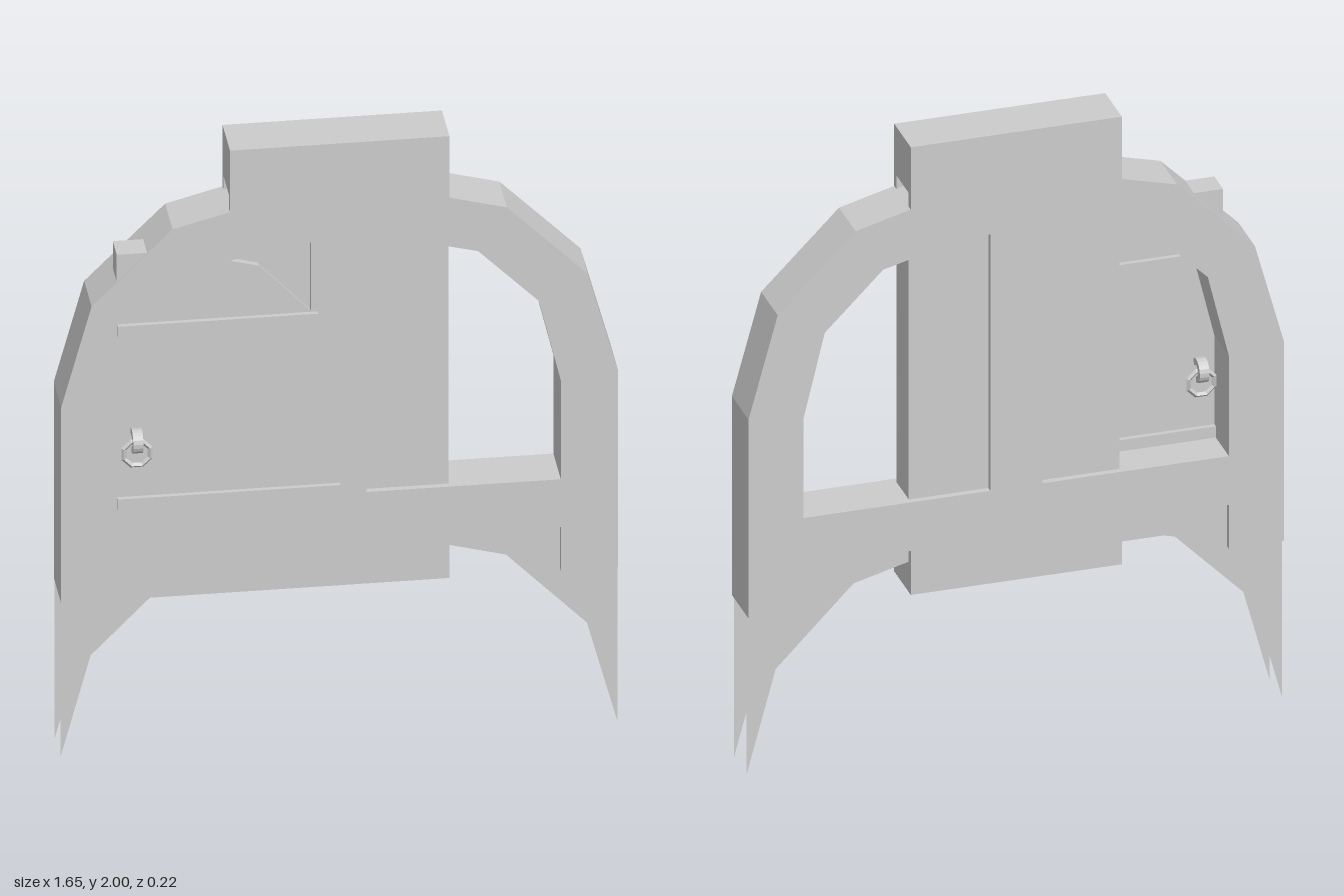
import * as THREE from 'three';

const FRONT = 0.05, BACK = -0.11, SKIN = 0.02;
const material = new THREE.MeshStandardMaterial({ color: 0xcccccc, flatShading: true, side: THREE.DoubleSide });

const mirror = (pts) => pts.map(([x, y]) => [-x, y]).reverse();
const toShape = (pts) => new THREE.Shape(pts.map(([x, y]) => new THREE.Vector2(x, y)));

// Right halves of the profiles, as [x, y]
const archOuter = [[0.825, 1.18], [0.735, 1.51], [0.495, 1.75]];
const archCrown = [0.155, 1.84];
const windowArch = [[0.655, 0.83], [0.655, 1.16], [0.59, 1.43], [0.41, 1.61]];
const windowTop = [0.155, 1.675];
const notch = [[0.325, 0.525], [0.325, 0.67], [0.655, 0.67], [0.655, 0.525]];
const legArch = [[0.825, 0], [0.735, 0.335], [0.495, 0.58], [0.155, 0.67]];
const upperHalf = [[0.825, 0.525], ...archOuter, [0.325, 1.795], [0.325, 2]];
const windowHole = [[0.08, 0.83], ...windowArch, windowTop, [0.08, 1.675]];

export function createModel() {
  const group = new THREE.Group();
  const add = (name, geometry, x = 0, y = 0, z = 0) => {
    const mesh = new THREE.Mesh(geometry, material);
    mesh.name = name;
    mesh.position.set(x, y, z);
    group.add(mesh);
    return mesh;
  };

  // Thin plate cut from an outline with holes
  const skin = (name, outline, holes, z) => {
    const shape = toShape(outline);
    shape.holes = holes.map(toShape);
    add(name, new THREE.ExtrudeGeometry(shape, { depth: SKIN, bevelEnabled: false }), 0, 0, z);
  };

  // Sheet that follows a line and spans a range of depth
  const sheet = (name, pts, z0, z1) => {
    const positions = [];
    for (let i = 0; i < pts.length - 1; i++) {
      const [ax, ay] = pts[i], [bx, by] = pts[i + 1];
      positions.push(ax, ay, z0, ax, ay, z1, bx, by, z1, ax, ay, z0, bx, by, z1, bx, by, z0);
    }
    const geometry = new THREE.BufferGeometry();
    geometry.setAttribute('position', new THREE.Float32BufferAttribute(positions, 3));
    geometry.computeVertexNormals();
    add(name, geometry);
  };

  // Front wall: one open window, the other closed by the door except for a corner
  const doorGap = [[-0.325, 1.632], [-0.24, 1.61], [-0.085, 1.445], [-0.085, 1.675], [-0.155, 1.675]];
  skin('frontWall', [[-0.825, 0.525], ...notch, ...upperHalf, ...mirror(upperHalf).slice(0, -1)],
    [windowHole, doorGap], FRONT - SKIN);

  // Back wall: both windows open, notches on both sides
  skin('backWall', [...mirror(notch), ...notch, ...upperHalf, ...mirror(upperHalf)],
    [windowHole, mirror(windowHole)], BACK);

  // Outer rim and roof, running under the top block
  const rim = [[0.825, 0.525], ...archOuter, archCrown];
  sheet('outerRim', [...rim, ...mirror(rim)], BACK, FRONT);
  add('topBlock', new THREE.BoxGeometry(0.65, 0.16, FRONT - BACK), 0, 1.92, (FRONT + BACK) / 2);

  // Window reveals
  const reveal = [[0.325, 0.83], ...windowArch, [0.325, 1.632]];
  sheet('windowRevealLeft', reveal, BACK, FRONT);
  sheet('windowRevealRight', mirror(reveal), BACK, FRONT - SKIN);

  // Inner plates: centre panel and pointed legs
  const plateHalf = [...legArch.slice().reverse(), [0.825, 0.83], [0.325, 0.83], [0.325, 1.632], windowTop];
  const plate = new THREE.ShapeGeometry(toShape([...plateHalf, ...mirror(plateHalf)]));
  add('innerPlateFront', plate, 0, 0, FRONT - SKIN);
  add('innerPlateBack', plate, 0, 0, BACK + SKIN);
  sheet('centrePost', [[-0.325, 1.632], [-0.325, 0.525], [0.325, 0.525], [0.325, 1.632]],
    BACK + SKIN, FRONT - SKIN);

  // Door pivot block
  add('pivotBlock', new THREE.BoxGeometry(0.09, 0.13, 0.085), -0.615, 1.61, 0.0035);

  // Hinge straps and ring handle on both faces of the door
  const hook = new THREE.Shape();
  hook.absarc(0, 0, 0.038, Math.PI * 0.8, -Math.PI / 2, true);
  hook.absarc(0, 0, 0.018, -Math.PI / 2, Math.PI * 0.8, false);
  const hookGeometry = new THREE.ExtrudeGeometry(hook, { depth: 0.03, bevelEnabled: false, curveSegments: 6 });
  hookGeometry.translate(0, 0, -0.015);
  hookGeometry.rotateY(-Math.PI / 2);
  const ringGeometry = new THREE.TorusGeometry(0.042, 0.008, 4, 8);
  ringGeometry.rotateZ(Math.PI / 8);
  for (const [side, face, dir] of [['outer', FRONT, 1], ['inner', FRONT - SKIN, -1]]) {
    const strapZ = face + dir * 0.0075;
    add(side + 'UpperStrap', new THREE.BoxGeometry(0.595, 0.037, 0.015), -0.3625, 1.426, strapZ);
    add(side + 'LowerStrap', new THREE.BoxGeometry(0.66, 0.037, 0.015), -0.33, 0.849, strapZ);
    add(side + 'HandleHook', hookGeometry, -0.605, 1.067, face + dir * 0.026).scale.z = dir;
    add(side + 'HandleRing', ringGeometry, -0.605, 1.027, face + dir * 0.03);
  }
  return group;
}
